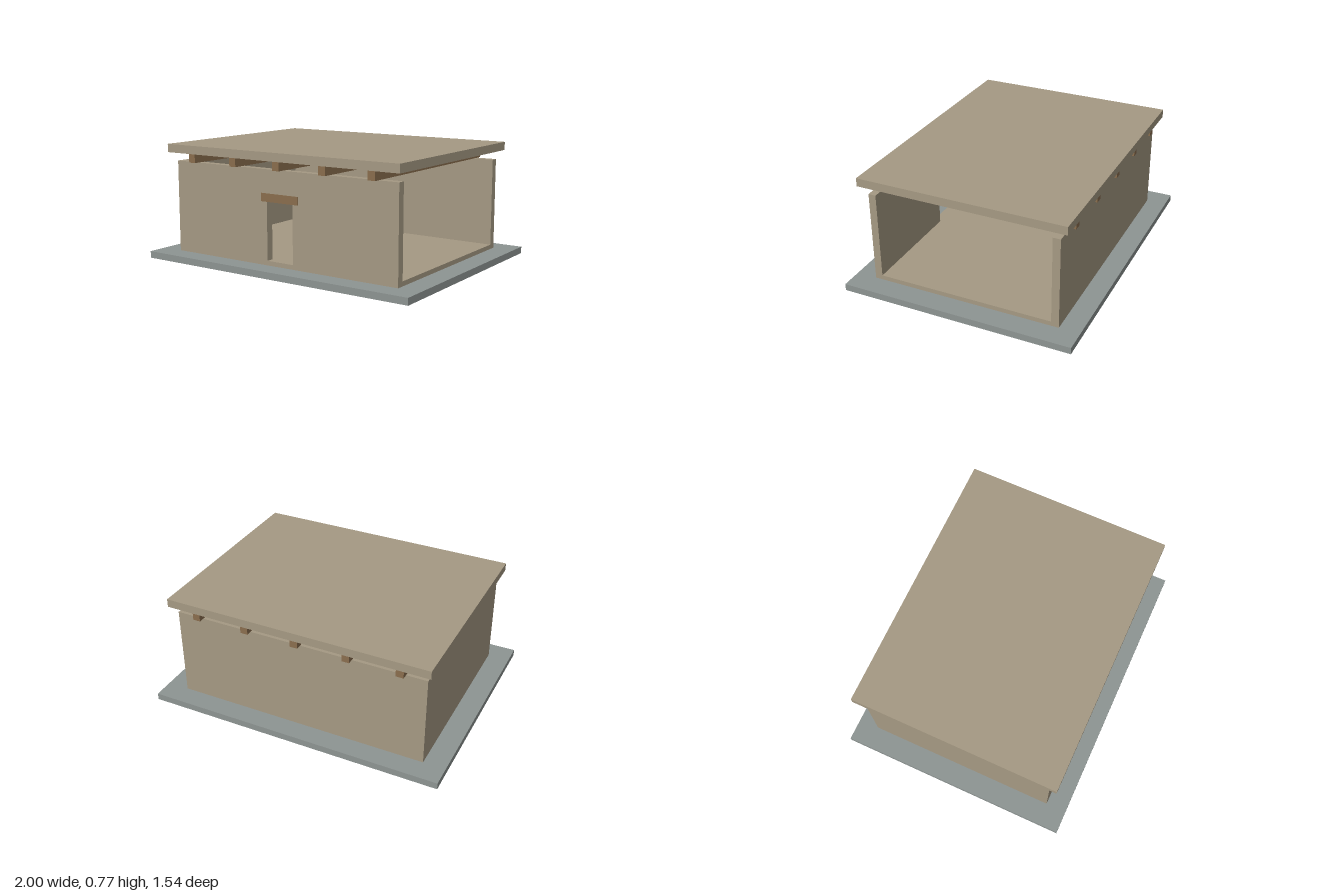
import * as THREE from 'three';

export function createModel() {
  const model = new THREE.Group();
  const material = (name, color) => {
    const m = new THREE.MeshStandardMaterial({ color });
    m.name = name;
    return m;
  };
  const clay = material('clay', 0xa69a84);
  const stone = material('stone', 0x8e9593);
  const wood = material('wood', 0x8a6e4e);

  const add = (name, geometry, mat) => {
    const mesh = new THREE.Mesh(geometry, mat);
    mesh.name = name;
    model.add(mesh);
    return mesh;
  };
  // Box given by its minimum and maximum along each axis
  const box = (name, mat, [x0, x1], [y0, y1], [z0, z1]) => {
    const mesh = add(name, new THREE.BoxGeometry(x1 - x0, y1 - y0, z1 - z0), mat);
    mesh.position.set((x0 + x1) / 2, (y0 + y1) / 2, (z0 + z1) / 2);
    return mesh;
  };

  const W = 0.854, D = 0.635, T = 0.05; // half width, half depth, wall thickness
  const base = 0.045, floor = 0.075, top = 0.656;

  // Stone plinth and raised floor
  box('plinth', stone, [-1, 1], [0, base], [-0.772, 0.772]);
  box('floor', clay, [-W, W], [base, floor], [-D + T, D - T]);

  // Back wall and one end wall; the +x end stays open
  box('backWall', clay, [-W, W], [base, top], [-D, -D + T]);
  box('endWall', clay, [-W, -W + T], [floor, top], [-D + T, D - T]);

  // Front wall with doorway
  const rect = (path, x0, y0, x1, y1) =>
    path.moveTo(x0, y0).lineTo(x1, y0).lineTo(x1, y1).lineTo(x0, y1).closePath();
  const wall = new THREE.Shape();
  rect(wall, -W, base, W, top);
  const door = new THREE.Path();
  rect(door, -0.1, floor, 0.1, 0.452);
  wall.holes.push(door);
  add('frontWall', new THREE.ExtrudeGeometry(wall, { depth: T, bevelEnabled: false }), clay)
    .position.z = D - T;

  // Wooden lintel over the doorway
  box('lintel', wood, [-0.143, 0.143], [0.452, 0.505], [D - T - 0.003, D + 0.003]);

  // Roof beams running front to back, carrying the flat roof
  for (let i = -2; i <= 2; i++) {
    const x = i * 0.346;
    box('roofBeam', wood, [x - 0.025, x + 0.025], [top, 0.715], [-0.672, 0.672]);
  }
  box('roof', clay, [-0.89, 0.89], [0.715, 0.77], [-0.69, 0.69]);

  return model;
}
